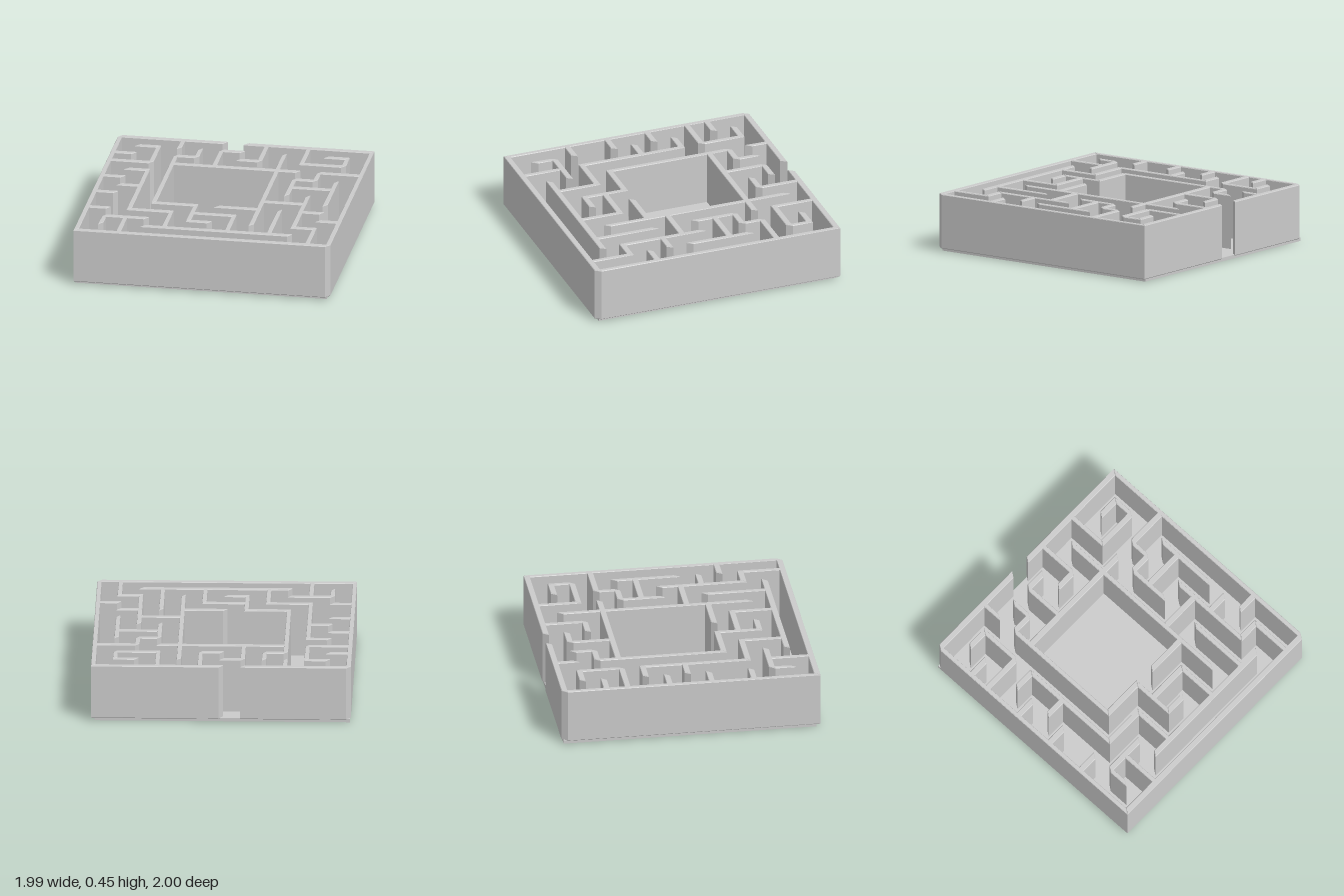
import * as THREE from 'three';

const PITCH = 0.163;                 // maze grid spacing, 12 x 12 cells
const PEN_X = 0.017, PEN_Z = 0.023;  // half extents of the slanted wall nib
const BOTTOM = 0.022, TOP = 0.445, BEVEL = 0.005;
const at = (i) => (i - 6) * PITCH;

// Walls along x: grid row -> [start, end] columns
const rows = [
  [[0, 5], [6, 12]],
  [[1, 2], [5, 6], [10, 11]],
  [[0, 1], [3, 4], [6, 7], [9, 11]],
  [[0, 2], [3, 9], [10, 12]],
  [[1, 2], [9, 10]],
  [[0, 1], [9, 11]],
  [[1, 2]],
  [[0, 1], [8, 10]],
  [[3, 5], [6, 8], [10, 11]],
  [[0, 1], [2, 4], [5, 7], [11, 12]],
  [[1, 3], [5, 6], [10, 11]],
  [[3, 10]],
  [[0, 12]],
];

// Walls along z: grid column -> [start, end] rows
const columns = [
  [[0, 12]],
  [[10, 11]],
  [[1, 3], [4, 9], [10, 12]],
  [[0, 1], [2, 8]],
  [[1, 2], [9, 11]],
  [[1, 3], [8, 10]],
  [],
  [[0, 2], [9, 11]],
  [[1, 10]],
  [[0, 2], [4, 6], [8, 11]],
  [[3, 4], [6, 10]],
  [[1, 2], [4, 7], [10, 12]],
  [[0, 12]],
];

// A wall is the slanted nib swept from one grid point to another
function wallGeometry(x0, z0, x1, z1) {
  const corners = [
    [x0 - PEN_X, z0 + PEN_Z], [x1 - PEN_X, z1 + PEN_Z],
    [x1 + PEN_X, z1 - PEN_Z], [x0 + PEN_X, z0 - PEN_Z],
  ];
  const shape = new THREE.Shape(corners.map(([x, z]) => new THREE.Vector2(x, -z)));
  const geometry = new THREE.ExtrudeGeometry(shape, {
    depth: TOP - BOTTOM - 2 * BEVEL,
    bevelSize: BEVEL, bevelThickness: BEVEL, bevelOffset: -BEVEL, bevelSegments: 1,
  });
  geometry.rotateX(-Math.PI / 2);
  geometry.translate(0, BOTTOM + BEVEL, 0);
  return geometry;
}

export function createModel() {
  const model = new THREE.Group();
  model.name = 'maze';
  const material = new THREE.MeshStandardMaterial({ color: 0xcccccc });

  // Floor plate, slightly offset under the walls
  const floor = new THREE.Mesh(new THREE.BoxGeometry(1.957, 0.028, 1.957), material);
  floor.name = 'floor';
  floor.position.set(-0.01, 0.014, -0.01);
  model.add(floor);

  const outer = new THREE.Group();
  outer.name = 'outerWalls';
  const inner = new THREE.Group();
  inner.name = 'innerWalls';
  model.add(outer, inner);

  const addWall = (line, name, ...ends) => {
    const wall = new THREE.Mesh(wallGeometry(...ends.map(at)), material);
    wall.name = name;
    (line === 0 || line === 12 ? outer : inner).add(wall);
  };
  rows.forEach((spans, j) => spans.forEach(([a, b]) => addWall(j, 'crossWall', a, j, b, j)));
  columns.forEach((spans, i) => spans.forEach(([a, b]) => addWall(i, 'lengthWall', i, a, i, b)));

  return model;
}
